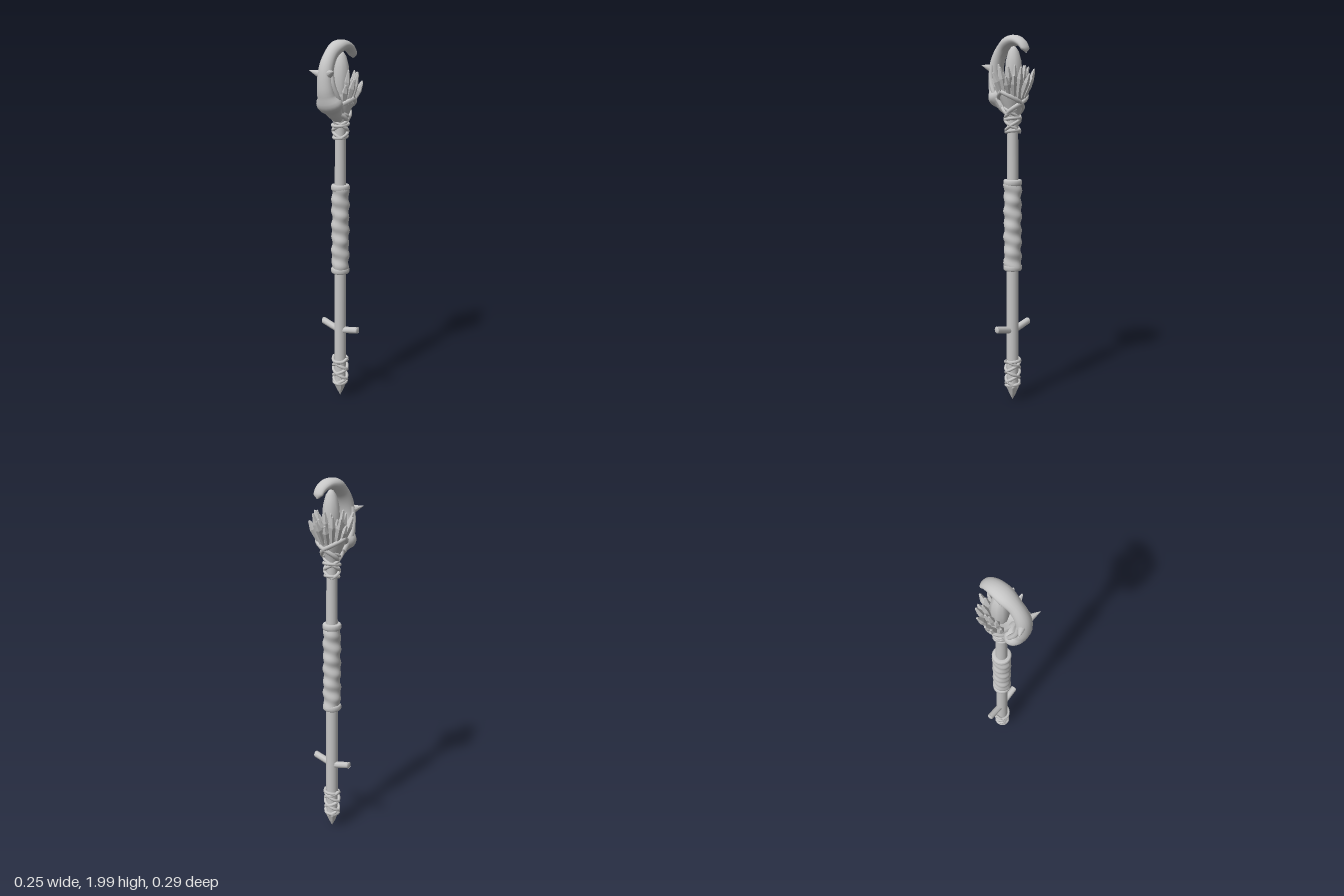
import * as THREE from 'three';

const V = (x, y, z) => new THREE.Vector3(x, y, z);
const AXIS_Z = -0.024; // the shaft sits slightly behind the centre

export function createModel() {
  const model = new THREE.Group();
  const stone = new THREE.MeshStandardMaterial({ color: 0xc6c6c6, side: THREE.DoubleSide });
  stone.name = 'paleGrey';

  const add = (name, geo, z = AXIS_Z) => {
    const mesh = new THREE.Mesh(geo, stone);
    mesh.name = name;
    mesh.position.z = z;
    model.add(mesh);
    return mesh;
  };
  const facet = (geo) => {
    const g = geo.toNonIndexed();
    g.computeVertexNormals();
    return g;
  };
  const lathe = (pts, sides) => new THREE.LatheGeometry(pts.map(([r, y]) => new THREE.Vector2(r, y)), sides);

  // Swept body: rows are [x, y, z, halfWidth, halfDepth], path lies in a plane of constant x or bends in it
  const sweep = (rows, steps = 40, sides = 16) => {
    const path = new THREE.CatmullRomCurve3(rows.map((r) => V(r[0], r[1], r[2])));
    const size = new THREE.CatmullRomCurve3(rows.map((r) => V(r[3], r[4], 0)));
    const pos = [], idx = [];
    for (let i = 0; i <= steps; i++) {
      const c = path.getPoint(i / steps), s = size.getPoint(i / steps);
      const t = path.getTangent(i / steps);
      const side = V(1, 0, 0).addScaledVector(t, -t.x).normalize();
      const n = t.clone().cross(side);
      for (let j = 0; j < sides; j++) {
        const a = (j / sides) * Math.PI * 2;
        const p = c.clone().addScaledVector(side, Math.cos(a) * s.x).addScaledVector(n, Math.sin(a) * s.y);
        pos.push(p.x, p.y, p.z);
        if (i < steps) {
          const k = i * sides + j, l = i * sides + ((j + 1) % sides);
          idx.push(k, l, k + sides, l, l + sides, k + sides);
        }
      }
    }
    const g = new THREE.BufferGeometry();
    g.setAttribute('position', new THREE.Float32BufferAttribute(pos, 3));
    g.setIndex(idx);
    g.computeVertexNormals();
    return g;
  };

  // Cord wound round the axis between two heights; squash narrows it in z
  const cord = (name, r0, r1, y0, y1, turns, phase, thick, squash) => {
    const pts = [];
    for (let i = 0; i <= 28; i++) {
      const t = i / 28, a = phase + turns * t * Math.PI * 2;
      const r = r0 + (r1 - r0) * t;
      pts.push(V(Math.sin(a) * r, y0 + (y1 - y0) * t, Math.cos(a) * r * squash));
    }
    add(name, new THREE.TubeGeometry(new THREE.CatmullRomCurve3(pts), 56, thick, 7));
  };

  // Shaft and pointed foot
  add('shaft', lathe([[0.031, 0.1], [0.034, 0.25], [0.033, 0.72], [0.031, 1.25], [0.029, 1.5], [0.032, 1.62]], 16));
  add('footSpike', facet(lathe([[0, 0], [0.018, 0.035], [0.036, 0.078], [0.031, 0.12]], 8)));

  // Uneven leather grip with collars
  const grip = new THREE.CylinderGeometry(0.047, 0.047, 0.46, 28, 56, true);
  const gp = grip.attributes.position;
  for (let i = 0; i < gp.count; i++) {
    const x = gp.getX(i), y = gp.getY(i), z = gp.getZ(i), a = Math.atan2(x, z);
    const k = 1 + 0.07 * Math.sin(y * 88 + a) + 0.035 * Math.sin(y * 47 - 2 * a);
    gp.setXYZ(i, x * k, y, z * k);
  }
  grip.computeVertexNormals();
  add('grip', grip).position.y = 0.99;
  for (const y of [0.758, 1.222]) {
    add('gripCollar', lathe([[0.03, -0.016], [0.046, -0.016], [0.051, -0.008], [0.051, 0.008],
      [0.046, 0.016], [0.03, 0.016]], 20)).position.y = y;
  }

  // Side pegs, bent upward
  for (const s of [-1, 1]) {
    const curve = new THREE.CatmullRomCurve3([V(0, 0.4, 0), V(s * 0.05, 0.413, 0), V(s * 0.118, s < 0 ? 0.433 : 0.427, 0)]);
    const peg = new THREE.TubeGeometry(curve, 10, 0.019, 8);
    add('sidePeg', peg);
    const end = new THREE.SphereGeometry(0.019, 8, 6);
    end.scale(0.3, 1, 1);
    add('pegEnd', end).position.set(s * 0.118, s < 0 ? 0.433 : 0.427, AXIS_Z);
  }

  // Crossed bindings at the foot and below the head
  for (const s of [-1, 1]) {
    for (const p of [0, Math.PI]) {
      cord('footBinding', 0.04, 0.044, 0.085, 0.235, s * 1.25, p, 0.009, 0.8);
      cord('neckBinding', 0.04, 0.046, 1.49, 1.63, s, p + 0.6, 0.009, 0.8);
      cord('cupBinding', 0.04, 0.083, 1.585, 1.7, s * 0.5, p + 1.57, 0.012, 1);
    }
  }
  for (const [y, r] of [[0.09, 0.037], [0.225, 0.04], [1.495, 0.036], [1.56, 0.042]]) {
    const ring = new THREE.TorusGeometry(r, 0.009, 7, 24);
    ring.rotateX(Math.PI / 2 + 0.15);
    add('bindingRing', ring).position.y = y;
  }

  // Flared cup holding the crystals
  add('cup', lathe([[0.03, 1.55], [0.038, 1.59], [0.052, 1.63], [0.07, 1.67], [0.08, 1.71],
    [0.07, 1.72], [0.045, 1.7], [0, 1.69]], 20));
  add('mainCrystal', lathe([[0.03, 1.66], [0.043, 1.73], [0.047, 1.8], [0.042, 1.86], [0.028, 1.91],
    [0.012, 1.933], [0, 1.938]], 10), -0.03);

  // Two tiers of small crystals, open toward the hook
  const shard = (a, r0, y0, r1, y1, w) => {
    const from = V(Math.sin(a) * r0, y0, -Math.cos(a) * r0);
    const dir = V(Math.sin(a) * r1, y1, -Math.cos(a) * r1).sub(from);
    const len = dir.length();
    const g = facet(lathe([[w * 0.6, 0], [w, len * 0.62], [w * 0.35, len * 0.96], [0, len]], 5));
    const m = add('smallCrystal', g, 0);
    m.position.set(from.x, from.y, from.z - 0.028);
    m.quaternion.setFromUnitVectors(V(0, 1, 0), dir.normalize());
  };
  for (let i = 0; i < 13; i++) {
    const a = ((i - 6) / 6) * 2.25;
    shard(a, 0.06, 1.67, 0.112 + 0.008 * Math.sin(i * 2.4), 1.8 + 0.03 * Math.sin(i * 1.9 + 1), 0.017);
  }
  for (let i = 0; i < 10; i++) {
    const a = ((i - 4.5) / 4.5) * 2.0;
    shard(a, 0.045, 1.68, 0.078 + 0.006 * Math.sin(i * 3), 1.825 + 0.025 * Math.sin(i * 2.2), 0.016);
  }

  // Crescent hook rising in front and curling over the crystal
  add('hook', sweep([
    [0, 1.59, -0.01, 0.03, 0.028], [0, 1.645, 0.045, 0.052, 0.04], [0, 1.71, 0.092, 0.052, 0.04],
    [0, 1.785, 0.105, 0.044, 0.035], [0, 1.86, 0.092, 0.04, 0.036], [0, 1.92, 0.055, 0.037, 0.034],
    [0, 1.958, 0, 0.046, 0.033], [0.003, 1.965, -0.055, 0.042, 0.026], [0.006, 1.945, -0.1, 0.034, 0.02],
    [0.006, 1.918, -0.122, 0.028, 0.014], [0.006, 1.9, -0.128, 0.004, 0.004]], 56, 18), 0);

  // Paired horns and ridges on the outer face of the hook
  for (const s of [-1, 1]) {
    const horn = new THREE.ConeGeometry(0.03, 0.078, 10, 1);
    horn.scale(1, 1, 0.85);
    const m = add('horn', horn, 0);
    const dir = V(s * 0.062, 0.022, 0.03).normalize();
    m.position.set(s * 0.048, 1.832, 0.119);
    m.quaternion.setFromUnitVectors(V(0, 1, 0), dir);
    add('hookRidge', new THREE.TubeGeometry(new THREE.CatmullRomCurve3([
      V(s * 0.035, 1.84, 0.1), V(s * 0.045, 1.77, 0.095), V(s * 0.055, 1.7, 0.065), V(s * 0.045, 1.63, 0.02),
    ]), 20, 0.013, 7), 0);
  }
  return model;
}
